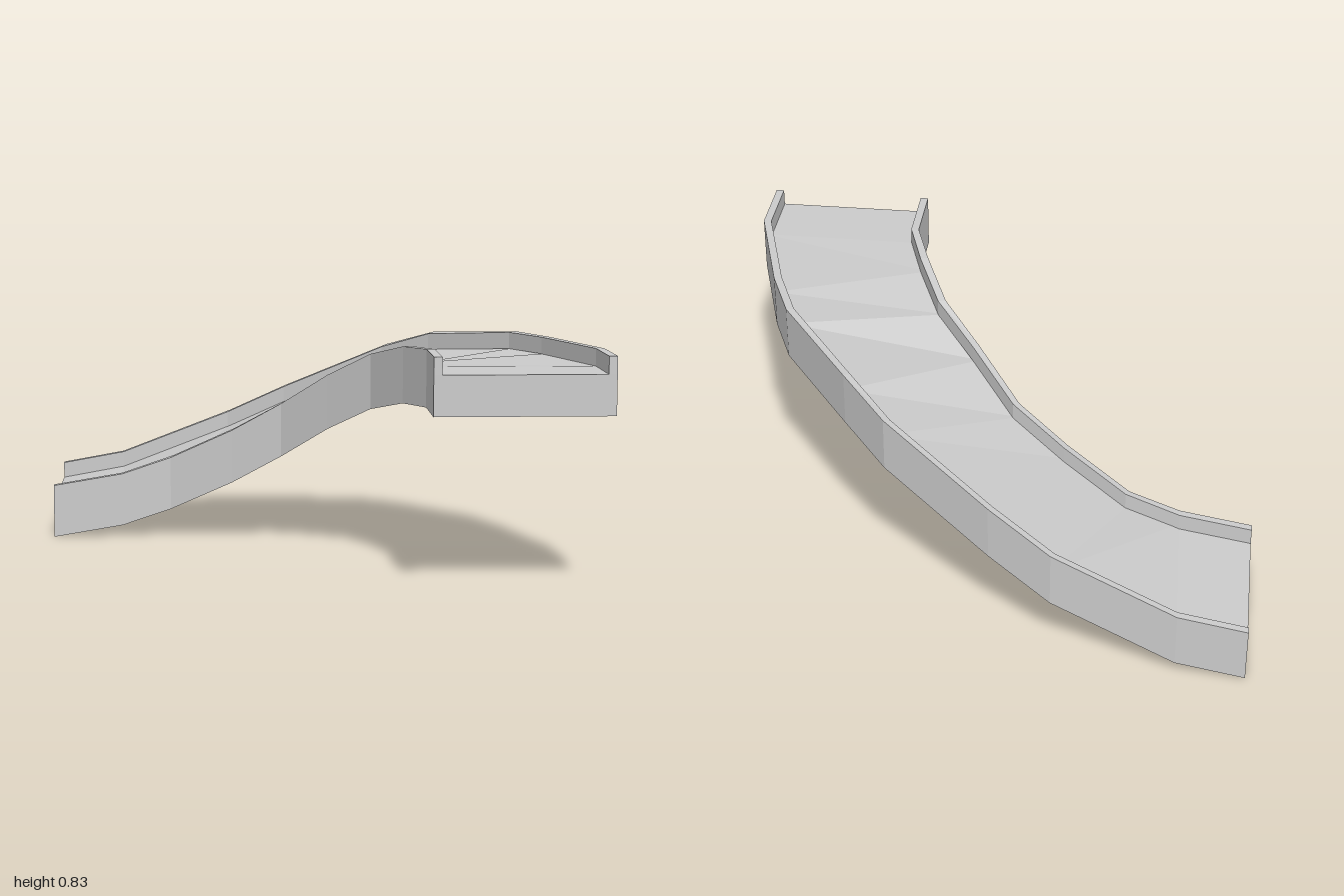
import * as THREE from 'three';

// Stations along the curve, low end to high end:
// inner x, z, base height, then outer x, z, base height
const stations = [
  [-1, -0.30, 0, -1, -0.925, 0],
  [-0.73, -0.30, 0.045, -0.75, -0.925, 0.045],
  [-0.54, -0.29, 0.11, -0.30, -0.865, 0.225],
  [-0.30, -0.19, 0.23, -0.07, -0.77, 0.34],
  [-0.11, -0.105, 0.345, 0.33, -0.545, 0.53],
  [0.06, 0.07, 0.475, 0.50, -0.37, 0.595],
  [0.21, 0.23, 0.57, 0.78, 0, 0.63],
  [0.31, 0.46, 0.62, 0.87, 0.22, 0.63],
  [0.375, 0.66, 0.63, 1, 0.66, 0.63],
  [0.375, 0.92, 0.63, 1, 0.92, 0.63],
];
const FLOOR = 0.143, TOP = 0.205, RIM = 0.03;

// Cross-section points of one station
function section([ix, iz, iy, ox, oz, oy]) {
  const inner = new THREE.Vector3(ix, iy, iz);
  const outer = new THREE.Vector3(ox, oy, oz);
  const k = RIM / Math.hypot(ox - ix, oz - iz);
  const at = (t, h) => inner.clone().lerp(outer, t).add(new THREE.Vector3(0, h, 0));
  return {
    innerBase: at(0, 0), innerFloor: at(0, FLOOR), innerTop: at(0, TOP),
    innerRimTop: at(k, TOP), innerRimFloor: at(k, FLOOR),
    outerRimFloor: at(1 - k, FLOOR), outerRimTop: at(1 - k, TOP),
    outerTop: at(1, TOP), outerFloor: at(1, FLOOR), outerBase: at(1, 0),
  };
}

const material = new THREE.MeshStandardMaterial({
  color: 0xcccccc, flatShading: true, side: THREE.DoubleSide,
});

// Mesh made of separate four-cornered faces
function quadMesh(name, quads) {
  const points = quads.flatMap(([a, b, c, d]) => [a, b, c, a, c, d]);
  const geometry = new THREE.BufferGeometry().setFromPoints(points);
  geometry.computeVertexNormals();
  const mesh = new THREE.Mesh(geometry, material);
  mesh.name = name;
  return mesh;
}

export function createModel() {
  const group = new THREE.Group();
  group.name = 'curvedRamp';
  const rings = stations.map(section);

  // Ribbon running the length of the ramp between two section points
  const ribbon = (from, to) => rings.slice(1).map((next, i) =>
    [rings[i][from], next[from], next[to], rings[i][to]]);

  // Floor, and the two side walls with their raised lips
  group.add(quadMesh('deck', ribbon('innerFloor', 'outerFloor')));
  group.add(quadMesh('innerWall', [
    ...ribbon('innerBase', 'innerTop'),
    ...ribbon('innerTop', 'innerRimTop'),
    ...ribbon('innerRimTop', 'innerRimFloor'),
  ]));
  group.add(quadMesh('outerWall', [
    ...ribbon('outerRimFloor', 'outerRimTop'),
    ...ribbon('outerRimTop', 'outerTop'),
    ...ribbon('outerTop', 'outerBase'),
  ]));

  // End panels, including the ends of the lips
  const endQuads = (r) => [
    [r.innerBase, r.innerFloor, r.outerFloor, r.outerBase],
    [r.innerFloor, r.innerTop, r.innerRimTop, r.innerRimFloor],
    [r.outerRimFloor, r.outerRimTop, r.outerTop, r.outerFloor],
  ];
  group.add(quadMesh('lowEndPanel', endQuads(rings[0])));
  group.add(quadMesh('highEndPanel',
    endQuads(rings[rings.length - 1]).map((q) => q.reverse())));

  return group;
}
